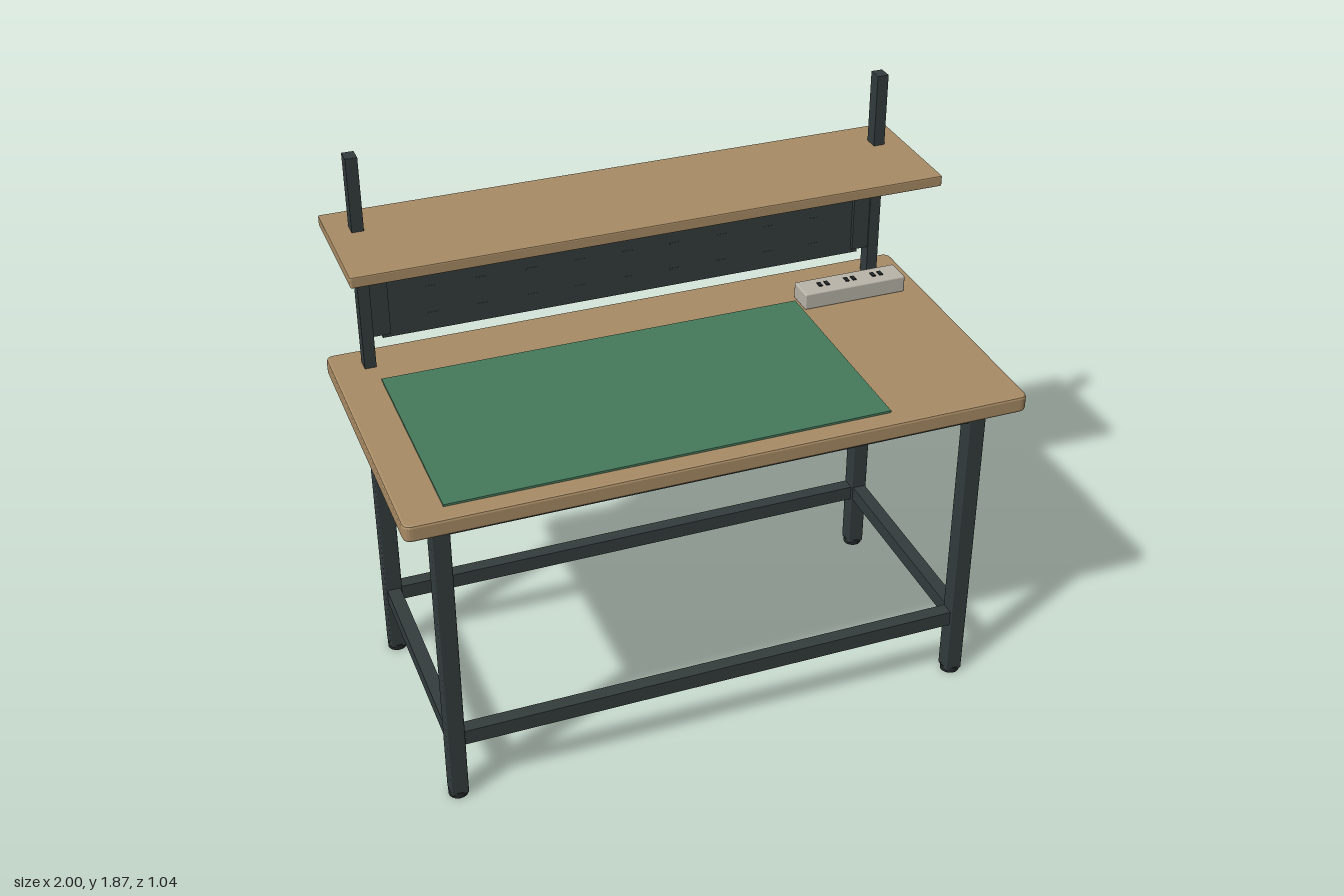
import * as THREE from 'three';
import { RoundedBoxGeometry } from 'three/addons/geometries/RoundedBoxGeometry.js';

const paint = (name, color) => {
  const m = new THREE.MeshStandardMaterial({ color });
  m.name = name;
  return m;
};

export function createModel() {
  const steel = paint('dark steel', 0x343c3d);
  const wood = paint('wood', 0xa98c66);
  const green = paint('green mat', 0x467a5c);
  const plastic = paint('light plastic', 0xbab5aa);
  const black = paint('black rubber', 0x222627);

  const model = new THREE.Group();
  model.name = 'workbench';

  const add = (name, geometry, material, parent = model) => {
    const mesh = new THREE.Mesh(geometry, material);
    mesh.name = name;
    parent.add(mesh);
    return mesh;
  };
  // Box given by its extents on each axis, with an optional softened edge
  const box = (name, material, [x0, x1], [y0, y1], [z0, z1], r = 0, parent = model) => {
    const s = [x1 - x0, y1 - y0, z1 - z0];
    const geometry = r ? new RoundedBoxGeometry(...s, 2, r) : new THREE.BoxGeometry(...s);
    const mesh = add(name, geometry, material, parent);
    mesh.position.set((x0 + x1) / 2, (y0 + y1) / 2, (z0 + z1) / 2);
    return mesh;
  };
  // Horizontal board with rounded corners in plan and bevelled edges
  const board = (name, w, d, h, r, bevel) => {
    const x = w / 2 - bevel, y = d / 2 - bevel;
    const s = new THREE.Shape();
    s.moveTo(-x + r, -y);
    s.lineTo(x - r, -y).quadraticCurveTo(x, -y, x, -y + r);
    s.lineTo(x, y - r).quadraticCurveTo(x, y, x - r, y);
    s.lineTo(-x + r, y).quadraticCurveTo(-x, y, -x, y - r);
    s.lineTo(-x, -y + r).quadraticCurveTo(-x, -y, -x + r, -y);
    const g = new THREE.ExtrudeGeometry(s, {
      depth: h - 2 * bevel, bevelEnabled: true, bevelThickness: bevel,
      bevelSize: bevel, bevelSegments: 2, curveSegments: 5,
    });
    g.rotateX(-Math.PI / 2).translate(0, bevel, 0);
    return add(name, g, wood);
  };

  // Boards
  board('tabletop', 2, 1.01, 0.055, 0.02, 0.008).position.set(0, 1.085, 0.015);
  board('upperShelf', 1.94, 0.436, 0.036, 0.003, 0.004).position.set(0, 1.59, -0.304);

  // Legs with round feet
  const legX = 0.875, frontZ = 0.41, backZ = -0.38, half = 0.029;
  for (const x of [-legX, legX]) {
    for (const z of [frontZ, backZ]) {
      box('leg', steel, [x - half, x + half], [0.01, 1.086], [z - half, z + half], 0.005);
      add('foot', new THREE.CylinderGeometry(0.032, 0.032, 0.02, 20), black).position.set(x, 0.01, z);
    }
  }

  // Top aprons and lower stretchers, all four sides
  const rail = 0.023;
  for (const [name, y] of [['apron', [1.022, 1.084]], ['stretcher', [0.21, 0.263]]]) {
    for (const z of [frontZ, backZ])
      box(name, steel, [-legX + half, legX - half], y, [z - rail, z + rail]);
    for (const x of [-legX, legX])
      box(name, steel, [x - rail, x + rail], y, [backZ + half, frontZ - half]);
  }

  // Rear uprights and panel brackets
  for (const s of [-1, 1]) {
    const span = (a, b) => (s > 0 ? [a, b] : [-b, -a]);
    box('upright', steel, span(0.86, 0.898), [0.895, 1.872], [-0.416, -0.367]);
    box('panelBracket', steel, span(0.803, 0.861), [1.248, 1.525], [-0.421, -0.372]);
  }

  // Back panel with rows of tool slots
  const panel = new THREE.Group();
  panel.name = 'backPanel';
  model.add(panel);
  box('panelSheet', steel, [-0.828, 0.828], [1.23, 1.54], [-0.402, -0.386], 0, panel);
  for (const y of [1.29, 1.385, 1.48])
    for (let i = -4; i <= 4; i++)
      box('toolSlot', steel, [i * 0.165 - 0.018, i * 0.165 + 0.018], [y - 0.003, y + 0.003],
        [-0.386, -0.385], 0, panel);

  // Cutting mat
  box('workMat', green, [-0.865, 0.556], [1.139, 1.147], [-0.28, 0.455]);

  // Power strip with sockets on top
  const strip = new THREE.Group();
  strip.name = 'powerStrip';
  model.add(strip);
  box('stripBody', plastic, [0.565, 0.932], [1.14, 1.199], [-0.312, -0.218], 0.006, strip);
  for (const x of [0.65, 0.748, 0.846])
    for (const dx of [-0.013, 0.013])
      box('socketSlot', black, [x + dx - 0.006, x + dx + 0.006], [1.197, 1.203],
        [-0.277, -0.253], 0, strip);

  // Cable tray under the rear edge, open at the top
  const tray = new THREE.Group();
  tray.name = 'cableTray';
  model.add(tray);
  const t = 0.01, X = 0.757, Y = [0.992, 1.06], Z = [-0.436, -0.284];
  box('trayFloor', steel, [-X, X], [Y[0], Y[0] + t], Z, 0, tray);
  box('trayBack', steel, [-X, X], Y, [Z[0], Z[0] + t], 0, tray);
  box('trayFront', steel, [-X, X], Y, [Z[1] - t, Z[1]], 0, tray);
  box('trayEnd', steel, [-X, -X + t], Y, Z, 0, tray);
  box('trayEnd', steel, [X - t, X], Y, Z, 0, tray);

  return model;
}
